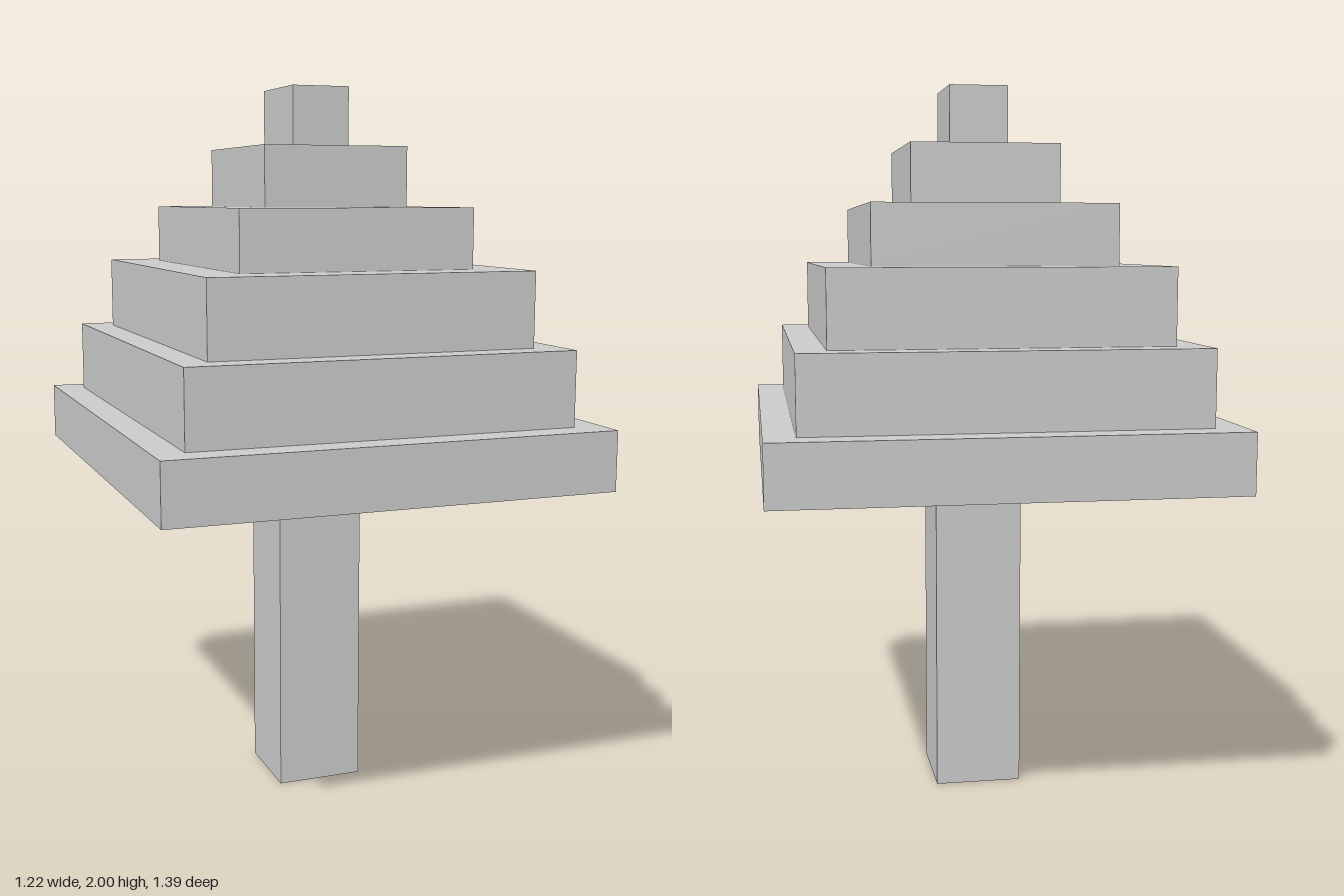
import * as THREE from 'three';

// The whole tree sits on a grid of 49 units in height
const U = 2 / 49;

// Foliage tiers, bottom to top: [half width, half depth, height] in grid units
const TIERS = [
  [15, 17, 4],
  [13, 15, 5],
  [11, 13, 5],
  [8, 10, 4],
  [5, 6, 4],
  [2, 3, 4],
];
const TRUNK = [3, 3, 23];

export function createModel() {
  const tree = new THREE.Group();
  tree.name = 'steppedTree';
  const material = new THREE.MeshStandardMaterial({ color: 0xcccccc, flatShading: true });

  // Stacks one box with its base at the given level; returns the level of its top
  function stack(name, [halfW, halfD, height], base) {
    const geometry = new THREE.BoxGeometry(halfW * 2 * U, height * U, halfD * 2 * U);
    const mesh = new THREE.Mesh(geometry, material);
    mesh.name = name;
    mesh.position.y = (base + height / 2) * U;
    tree.add(mesh);
    return base + height;
  }

  // Trunk, then the foliage tiers on top of it
  let level = stack('trunk', TRUNK, 0);
  TIERS.forEach((tier, i) => {
    level = stack(`foliageTier${i + 1}`, tier, level);
  });

  return tree;
}
